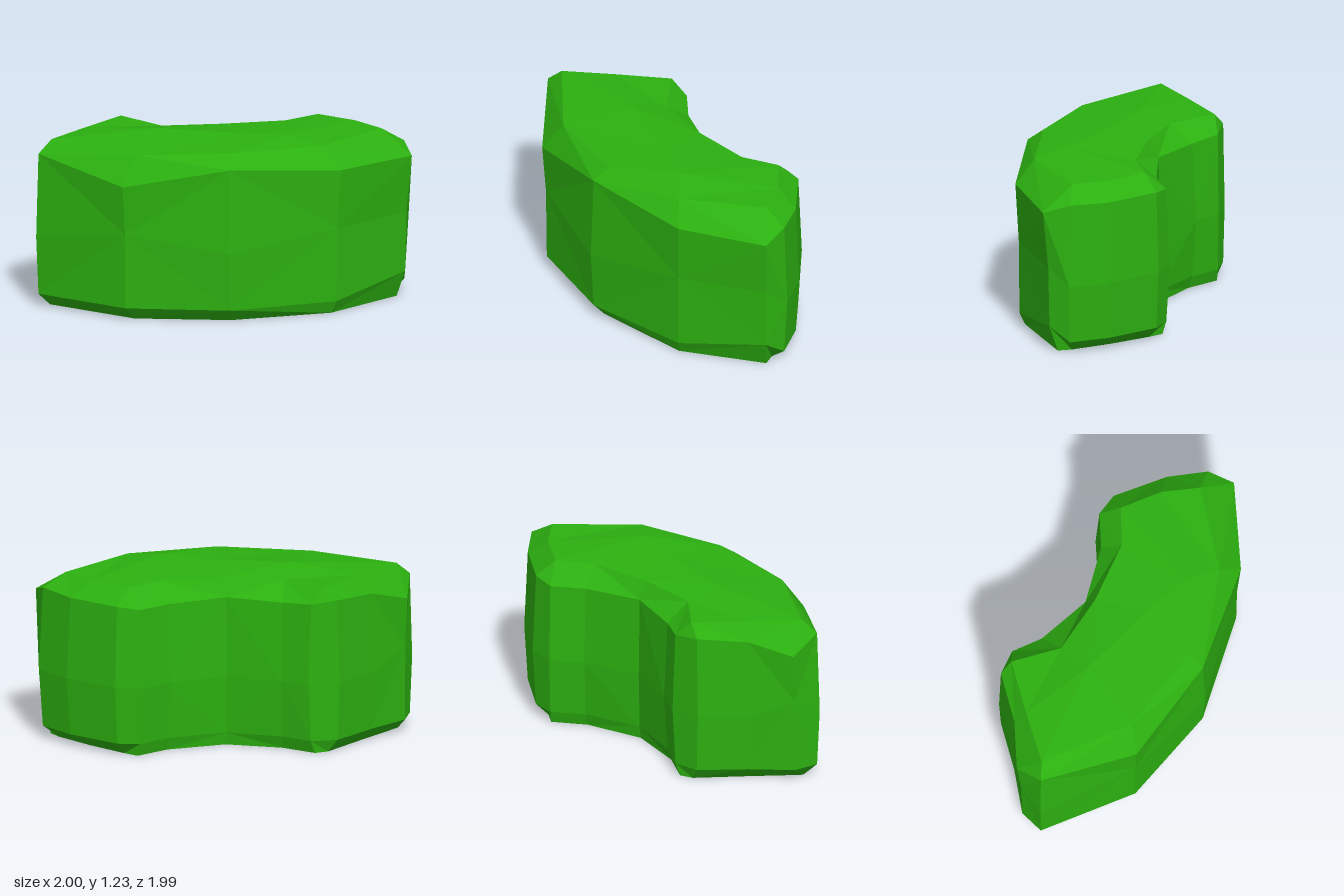
import * as THREE from 'three';

// Outline columns, counterclockwise from above:
// [side x, side z, top x, top z, top y, shoulder y, foot inset]
const COLUMNS = [
  [-0.88, 0.99, -0.84, 0.87, 1.19, 1.10, 0.9], // front left corner
  [-0.17, 0.91, -0.16, 0.76, 1.17, 0.97, 0.8], // outer curve
  [0.44, 0.48, 0.36, 0.36, 1.19, 1.10, 0.7],
  [0.88, -0.20, 0.72, -0.18, 1.19, 1.04, 0.5],
  [1.00, -0.83, 0.75, -0.80, 1.19, 1.03, 0.5], // back end
  [0.86, -0.96, 0.75, -0.80, 1.19, 1.09, 0.75],
  [0.57, -1.00, 0.48, -0.84, 1.19, 1.08, 0.9],
  [0.16, -0.96, 0.18, -0.80, 1.19, 1.08, 0.7],
  [0.01, -0.85, 0.18, -0.80, 1.19, 1.06, 0.3], // inner curve
  [-0.04, -0.61, 0.11, -0.53, 1.19, 1.06, 0.3],
  [-0.24, -0.24, -0.17, -0.19, 1.19, 1.07, 0.3],
  [-0.61, -0.08, -0.49, 0.09, 1.18, 1.06, 0.3],
  [-0.81, -0.03, -0.85, 0.10, 1.19, 1.08, 0.4],
  [-0.95, 0.14, -0.85, 0.10, 1.19, 1.10, 0.8], // left end
  [-0.95, 0.49, -0.85, 0.49, 1.19, 1.07, 0.9],
  [-1.00, 0.80, -0.84, 0.87, 1.19, 0.98, 0.9],
];

// Raised points along the middle of the top
const CROWN = [[-0.36, 1.23, 0.30], [0.15, 1.22, 0.0], [0.45, 1.23, -0.15]];

function hedgeGeometry() {
  const n = COLUMNS.length;
  const positions = [];
  const index = [];
  const quad = (a, b, c, d) => index.push(a, b, c, a, c, d);

  // Five rings: foot, low edge, belly, shoulder, top edge
  for (let level = 0; level < 5; level++) {
    for (const [sx, sz, tx, tz, topY, shoulderY, foot] of COLUMNS) {
      const overhang = shoulderY < 1.05;
      const inset = [foot, overhang ? 0.22 : 0.15, overhang ? 0.18 : 0, overhang ? 0 : 0.15, 1][level];
      const y = [0, sx === 1 ? 0.19 : 0.09, overhang ? 0.62 : 0.5, shoulderY, topY][level];
      positions.push(sx + (tx - sx) * inset, y, sz + (tz - sz) * inset);
    }
  }

  // Sides, with alternating diagonals
  for (let level = 0; level < 4; level++) {
    for (let i = 0; i < n; i++) {
      const j = (i + 1) % n;
      const a = level * n + i, b = level * n + j;
      if ((i + level) % 2) quad(a, b, b + n, a + n);
      else quad(b, b + n, a + n, a);
    }
  }

  // Top: two strips that meet along the crown
  const crown = positions.length / 3;
  positions.push(...CROWN.flat());
  const top = (i) => 4 * n + i;
  const outer = [0, 1, 2, 3, 4].map(top);
  const spine = [top(14), crown, crown + 1, crown + 2, top(6)];
  const inner = [12, 11, 10, 9, 8].map(top);
  for (let i = 0; i < 4; i++) {
    quad(outer[i], outer[i + 1], spine[i + 1], spine[i]);
    quad(spine[i], spine[i + 1], inner[i + 1], inner[i]);
  }

  // Flat underside
  const outline = COLUMNS.map((_, i) => new THREE.Vector2(positions[i * 3], -positions[i * 3 + 2]));
  for (const [a, b, c] of THREE.ShapeUtils.triangulateShape(outline, [])) index.push(a, c, b);

  const geometry = new THREE.BufferGeometry();
  geometry.setAttribute('position', new THREE.Float32BufferAttribute(positions, 3));
  geometry.setIndex(index);
  const faceted = geometry.toNonIndexed();
  faceted.computeVertexNormals();
  return faceted;
}

export function createModel() {
  const group = new THREE.Group();
  group.name = 'curvedHedge';
  const leaves = new THREE.MeshStandardMaterial({ color: 0x2cb010, flatShading: true });
  const hedge = new THREE.Mesh(hedgeGeometry(), leaves);
  hedge.name = 'hedge';
  group.add(hedge);
  return group;
}
